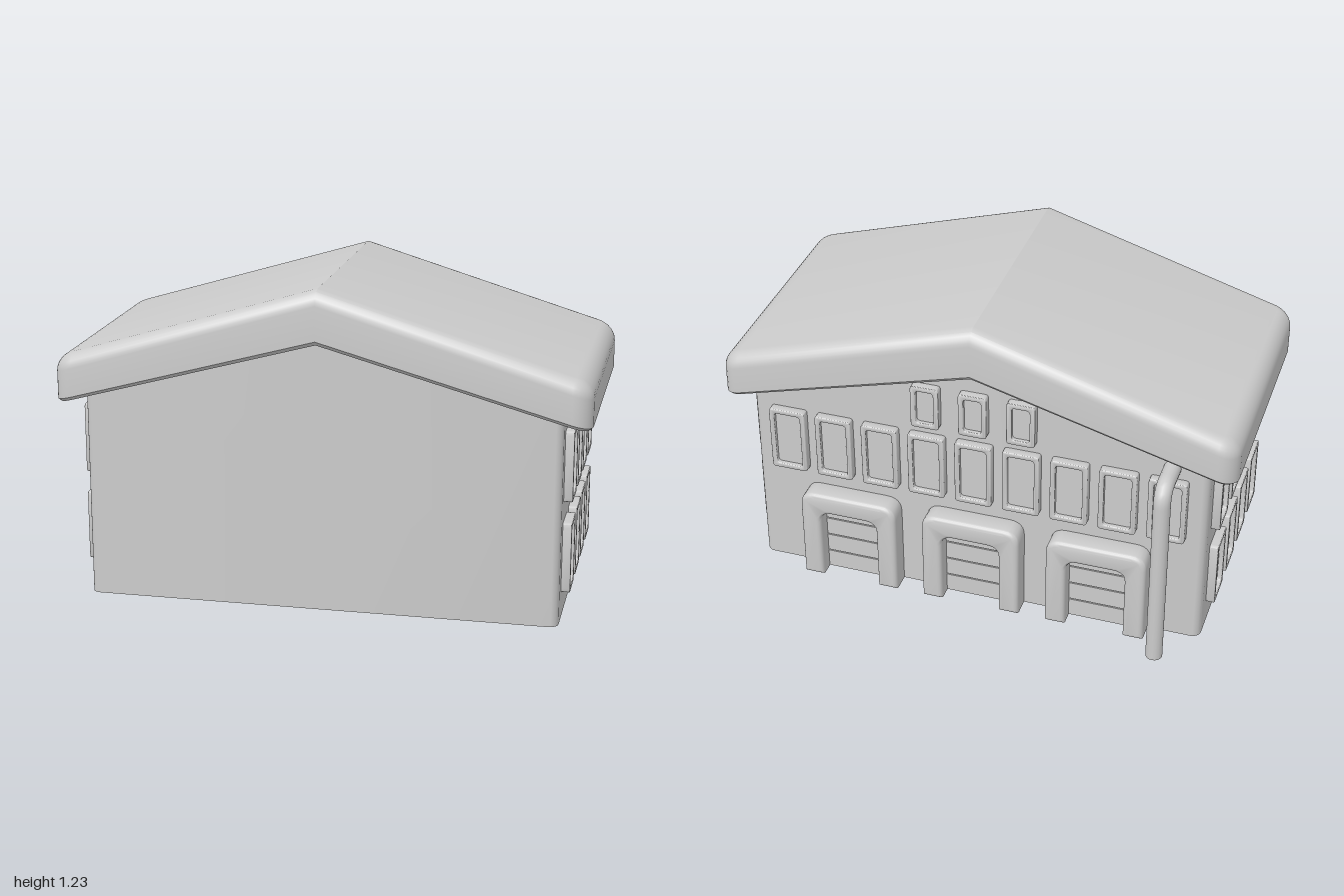
import * as THREE from 'three';
import { toCreasedNormals } from 'three/addons/utils/BufferGeometryUtils.js';

const material = new THREE.MeshStandardMaterial({ color: 0xcccccc });
const WALL_X = 0.895, WALL_BACK = -0.395, WALL_FRONT = 0.52;

function add(parent, geometry, name, x = 0, y = 0, z = 0) {
  const mesh = new THREE.Mesh(geometry, material);
  mesh.name = name;
  mesh.position.set(x, y, z);
  parent.add(mesh);
  return mesh;
}

// Rounded-plan solid from stacked rings; each ring drops away from x = 0 by its slope.
function gabledSolid(halfX, halfZ, radius, rings) {
  const steps = 6, position = [], index = [];
  const loop = (inset) => {
    const r = Math.max(radius - inset, 0.004), cx = halfX - inset - r, cz = halfZ - inset - r;
    const front = [];
    for (let i = 0; i <= steps; i++) {
      const a = Math.PI - (i / steps) * Math.PI / 2;
      front.push([-cx + r * Math.cos(a), cz + r * Math.sin(a)]);
    }
    const right = front.map(([x, z]) => [-x, z]).reverse();
    const half = [...front, [0, halfZ - inset], ...right];
    return [...half, ...half.map(([x, z]) => [x, -z]).reverse()];
  };
  for (const [inset, y, slope] of rings) {
    for (const [x, z] of loop(inset)) position.push(x, y - slope * Math.abs(x), z);
  }
  const n = position.length / 3 / rings.length, top = n * (rings.length - 1);
  for (let k = 0; k < rings.length - 1; k++) {
    for (let i = 0; i < n; i++) {
      const a = k * n + i, b = k * n + (i + 1) % n;
      index.push(a, b, b + n, a, b + n, a + n);
    }
  }
  // caps run in strips from front to back so the ridge stays straight
  for (let i = 0; i < n / 2 - 1; i++) {
    const a = i, b = i + 1, c = n - 2 - i, d = n - 1 - i;
    index.push(top + a, top + b, top + c, top + a, top + c, top + d);
    index.push(a, c, b, a, d, c);
  }
  const geometry = new THREE.BufferGeometry();
  geometry.setAttribute('position', new THREE.Float32BufferAttribute(position, 3));
  geometry.setIndex(index);
  return toCreasedNormals(geometry, 0.5);
}

// Rectangle with rounded corners; rBottom = 0 gives square feet.
function roundedRect(target, x0, y0, x1, y1, r, rBottom = r) {
  target.moveTo(x0 + rBottom, y0);
  target.lineTo(x1 - rBottom, y0);
  if (rBottom) target.quadraticCurveTo(x1, y0, x1, y0 + rBottom);
  target.lineTo(x1, y1 - r);
  target.quadraticCurveTo(x1, y1, x1 - r, y1);
  target.lineTo(x0 + r, y1);
  target.quadraticCurveTo(x0, y1, x0, y1 - r);
  target.lineTo(x0, y0 + rBottom);
  if (rBottom) target.quadraticCurveTo(x0, y0, x0 + rBottom, y0);
  return target;
}

function extrude(shape, depth, bevel) {
  const geometry = new THREE.ExtrudeGeometry(shape, {
    depth: depth - bevel, bevelEnabled: true, bevelThickness: bevel,
    bevelSize: bevel, bevelOffset: -bevel, bevelSegments: 4, curveSegments: 6,
  });
  return toCreasedNormals(geometry, 0.6);
}

// Framed window facing +z, centred on its own origin.
function makeWindow(name, w, h) {
  const group = new THREE.Group();
  group.name = name;
  const border = 0.02;
  const shape = roundedRect(new THREE.Shape(), -w / 2, -h / 2, w / 2, h / 2, 0.014);
  shape.holes.push(roundedRect(new THREE.Path(),
    -w / 2 + border, -h / 2 + border, w / 2 - border, h / 2 - border, 0.014));
  add(group, extrude(shape, 0.033, 0.004), 'windowFrame');
  add(group, new THREE.BoxGeometry(w - border, h - border, 0.02), 'windowPane', 0, 0, 0.005);
  return group;
}

// Rounded door surround with a slatted shutter, facing +z.
function makeDoor() {
  const group = new THREE.Group();
  group.name = 'garageDoor';
  const shape = new THREE.Shape();
  const w = 0.195, h = 0.39, iw = 0.115, ih = 0.305, r = 0.06, ir = 0.045;
  shape.moveTo(-w, 0);
  shape.lineTo(-iw, 0);
  shape.lineTo(-iw, ih - ir);
  shape.quadraticCurveTo(-iw, ih, -iw + ir, ih);
  shape.lineTo(iw - ir, ih);
  shape.quadraticCurveTo(iw, ih, iw, ih - ir);
  shape.lineTo(iw, 0);
  shape.lineTo(w, 0);
  shape.lineTo(w, h - r);
  shape.quadraticCurveTo(w, h, w - r, h);
  shape.lineTo(-w + r, h);
  shape.quadraticCurveTo(-w, h, -w, h - r);
  add(group, extrude(shape, 0.085, 0.018), 'doorSurround');
  const slat = 0.32 / 4;
  for (let i = 0; i < 4; i++) {
    add(group, new THREE.BoxGeometry(0.26, slat - 0.005, 0.04), 'doorSlat', 0, slat * (i + 0.5), 0);
  }
  return group;
}

export function createModel() {
  const model = new THREE.Group();
  model.name = 'building';
  const place = (part, x, y, z, turn) => {
    part.position.set(x, y, z);
    part.rotation.y = turn;
    model.add(part);
  };

  // Walls
  add(model, gabledSolid(WALL_X, (WALL_FRONT - WALL_BACK) / 2, 0.035, [[0, 0, 0], [0, 1.1, 0.28]]),
    'walls', 0, 0, (WALL_FRONT + WALL_BACK) / 2);

  // Roof with a rounded upper edge and a slight lower bevel
  const rings = [[0.012, 1.03, 0.275], [0, 1.045, 0.277]];
  const fillet = 0.055;
  for (let i = 0; i <= 6; i++) {
    const a = (i / 6) * Math.PI / 2;
    rings.push([fillet * (1 - Math.cos(a)), 1.23 - fillet * (1 - Math.sin(a)), 0.3]);
  }
  add(model, gabledSolid(1, 0.5125, 0.07, rings), 'roof', 0, 0, 0.0625);

  // Side windows, two rows of four on each side
  for (const side of [-1, 1]) {
    for (const y of [0.24, 0.59]) {
      for (const z of [0.362, 0.165, -0.032, -0.234]) {
        place(makeWindow('sideWindow', 0.145, 0.27), side * WALL_X, y, z, side * Math.PI / 2);
      }
    }
  }

  // Back windows: a row of nine and three small ones in the gable
  for (let i = -4; i <= 4; i++) {
    place(makeWindow('backWindow', 0.145, 0.27), i * 0.187, 0.59, WALL_BACK, Math.PI);
  }
  for (let i = -1; i <= 1; i++) {
    place(makeWindow('gableWindow', 0.11, 0.18), i * 0.187, 0.855, WALL_BACK, Math.PI);
    place(makeDoor(), i * 0.497, 0, WALL_BACK, Math.PI);
  }

  // Drainpipe bending out of the back wall
  const px = -0.755, pz = -0.5425, v = (y, z) => new THREE.Vector3(px, y, z);
  const path = new THREE.CurvePath();
  path.add(new THREE.LineCurve3(v(0.77, -0.37), v(0.77, pz + 0.06)));
  path.add(new THREE.QuadraticBezierCurve3(v(0.77, pz + 0.06), v(0.77, pz), v(0.71, pz)));
  path.add(new THREE.LineCurve3(v(0.71, pz), v(0, pz)));
  add(model, new THREE.TubeGeometry(path, 60, 0.0325, 16), 'drainpipe');
  add(model, new THREE.CircleGeometry(0.0325, 16), 'drainpipeEnd', px, 0, pz).rotation.x = Math.PI / 2;

  return model;
}
